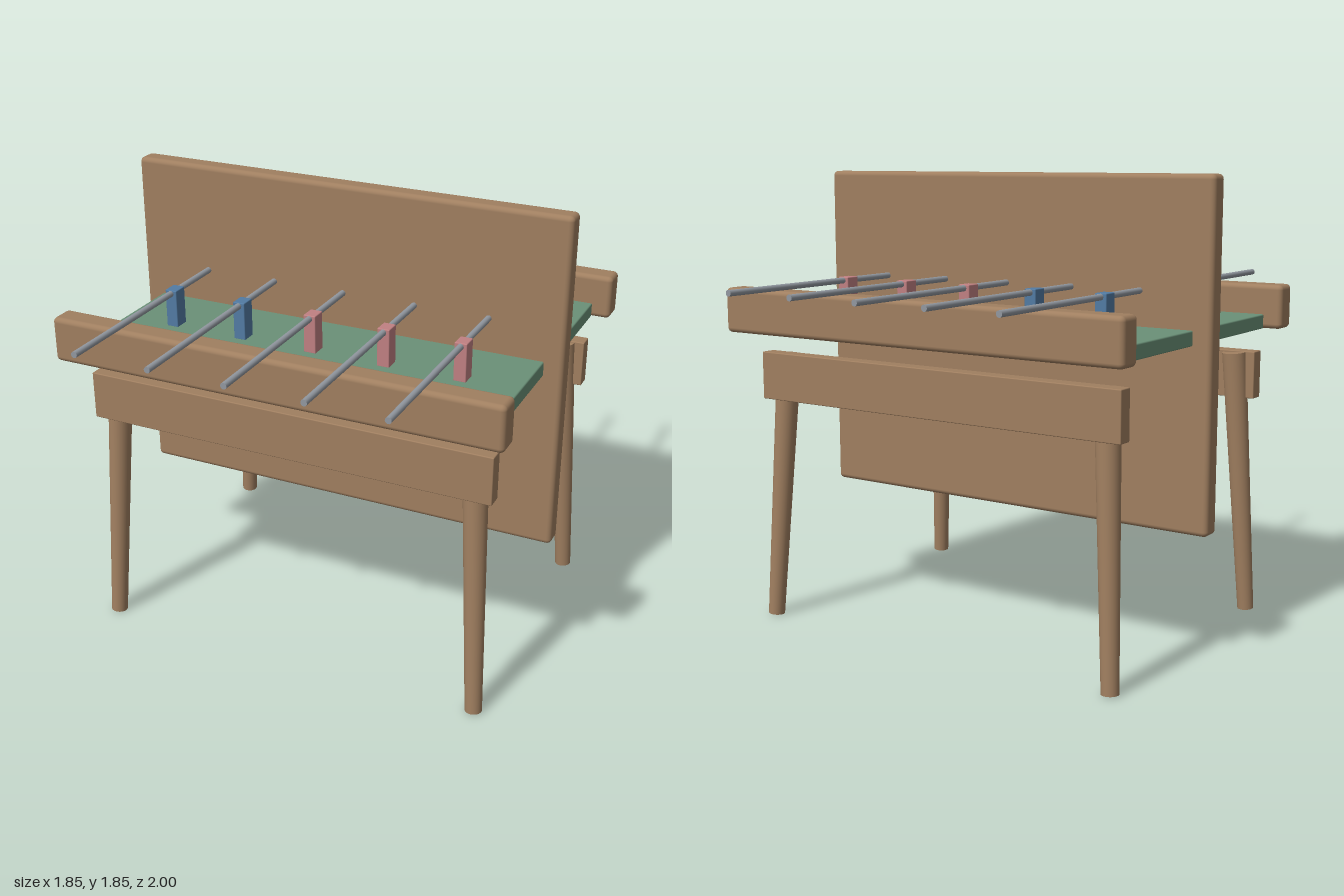
import * as THREE from 'three';
import { RoundedBoxGeometry } from 'three/addons/geometries/RoundedBoxGeometry.js';

const material = (name, color) => {
  const m = new THREE.MeshStandardMaterial({ color });
  m.name = name;
  return m;
};

export function createModel() {
  const wood = material('wood', 0xa07f60);
  const green = material('green field', 0x6b9178);
  const pink = material('pink', 0xc08082);
  const blue = material('blue', 0x527ba3);
  const steel = material('steel', 0x9298a0);

  const model = new THREE.Group();
  model.name = 'tableGame';

  const add = (name, geometry, mat, x, y, z) => {
    const mesh = new THREE.Mesh(geometry, mat);
    mesh.name = name;
    mesh.position.set(x, y, z);
    model.add(mesh);
    return mesh;
  };
  const box = (w, h, d, r) => new RoundedBoxGeometry(w, h, d, 3, r);

  // Upright divider and playing field
  add('centrePanel', box(1.845, 1.38, 0.088, 0.02), wood, 0, 1.162, 0);
  add('playingField', box(1.69, 0.06, 1.23, 0.006), green, 0, 1.239, 0);

  // Tapered leg from floor to apron, splayed outwards
  const addLeg = (sx, sz) => {
    const foot = new THREE.Vector3(0.815 * sx, 0.002, 0.585 * sz);
    const top = new THREE.Vector3(0.757 * sx, 1.114, 0.526 * sz);
    const axis = top.clone().sub(foot);
    const centre = foot.clone().add(top).multiplyScalar(0.5);
    const leg = add('leg', new THREE.CylinderGeometry(0.05, 0.034, axis.length(), 24),
      wood, centre.x, centre.y, centre.z);
    leg.quaternion.setFromUnitVectors(new THREE.Vector3(0, 1, 0), axis.normalize());
  };

  // Long side rails, aprons and legs on both sides
  for (const sz of [1, -1]) {
    add('sideRail', box(1.845, 0.182, 0.105, 0.02), wood, 0, 1.301, 0.663 * sz);
    add('apron', box(1.695, 0.196, 0.065, 0.004), wood, 0, 1.023, 0.558 * sz);
    for (const sx of [1, -1]) addLeg(sx, sz);
  }

  // Rods through the divider, each with a player on either side
  const rod = new THREE.CylinderGeometry(0.0125, 0.0125, 2, 16).rotateX(Math.PI / 2);
  const player = box(0.05, 0.156, 0.064, 0.004);
  for (let i = -2; i <= 2; i++) {
    const x = i * 0.308;
    add('rod', rod, steel, x, 1.408, 0);
    for (const sz of [1, -1]) {
      add('player', player, i < 0 ? blue : pink, x, 1.344, 0.31 * sz);
    }
  }
  return model;
}
